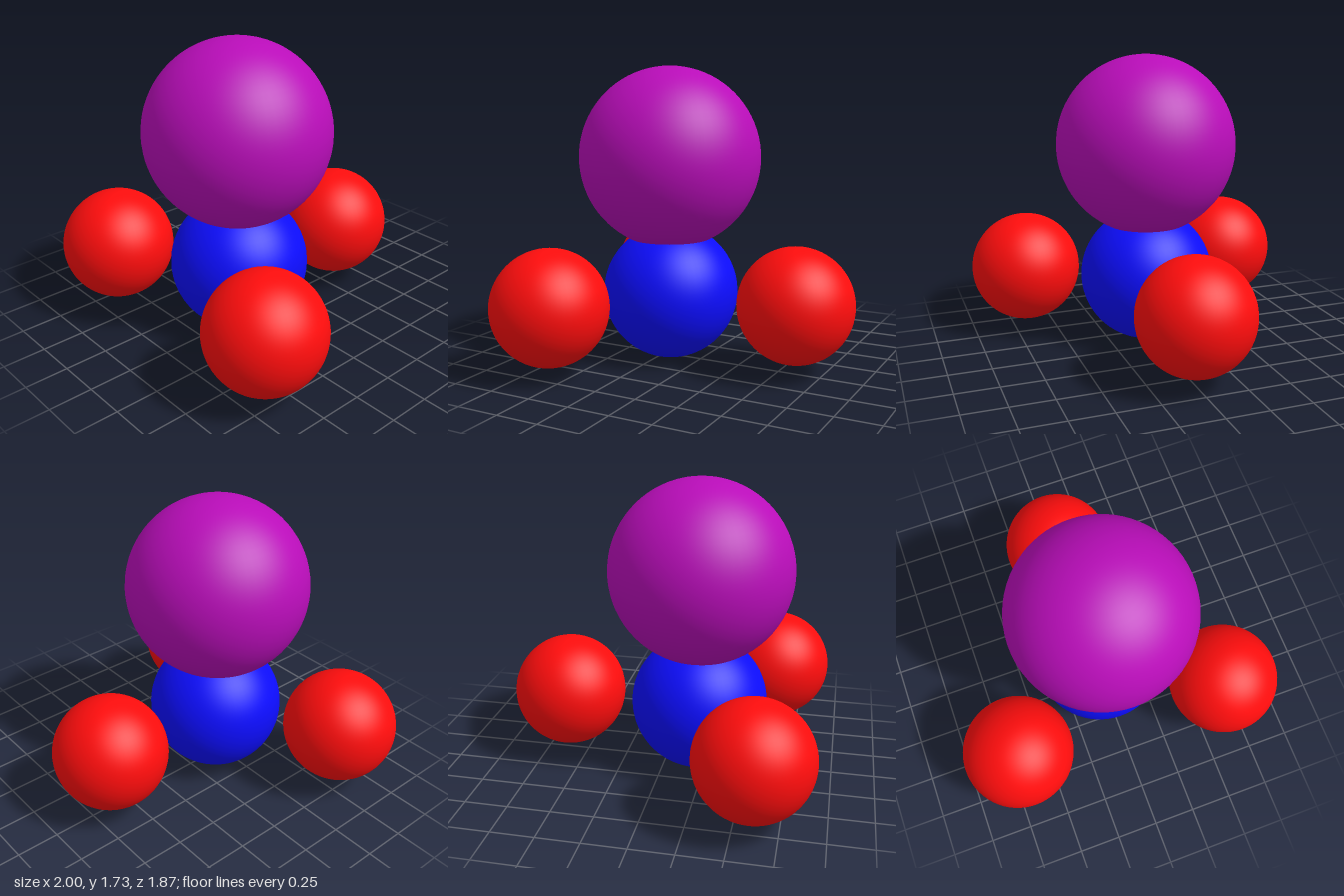
import * as THREE from 'three';

export function createModel() {
  const model = new THREE.Group();
  model.name = 'molecule';

  const red = new THREE.MeshStandardMaterial({ color: 0xff0d0d });
  const blue = new THREE.MeshStandardMaterial({ color: 0x0d0dff });
  const purple = new THREE.MeshStandardMaterial({ color: 0xb90db9 });

  function addAtom(name, radius, material, x, y, z) {
    const atom = new THREE.Mesh(new THREE.SphereGeometry(radius, 64, 40), material);
    atom.name = name;
    atom.position.set(x, y, z);
    model.add(atom);
  }

  // Central atom with the large atom sunk into its top
  addAtom('centralAtom', 0.4, blue, 0, 0.4, 0.2);
  addAtom('topAtom', 0.533, purple, 0, 1.2, 0.2);

  // Three small atoms around the centre
  const r = 0.333;
  addAtom('backAtom', r, red, 0, 0.4, -0.6);
  for (const side of [1, -1]) {
    addAtom(side > 0 ? 'leftAtom' : 'rightAtom', r, red, side * 0.667, 0.4, 0.6);
  }

  return model;
}
